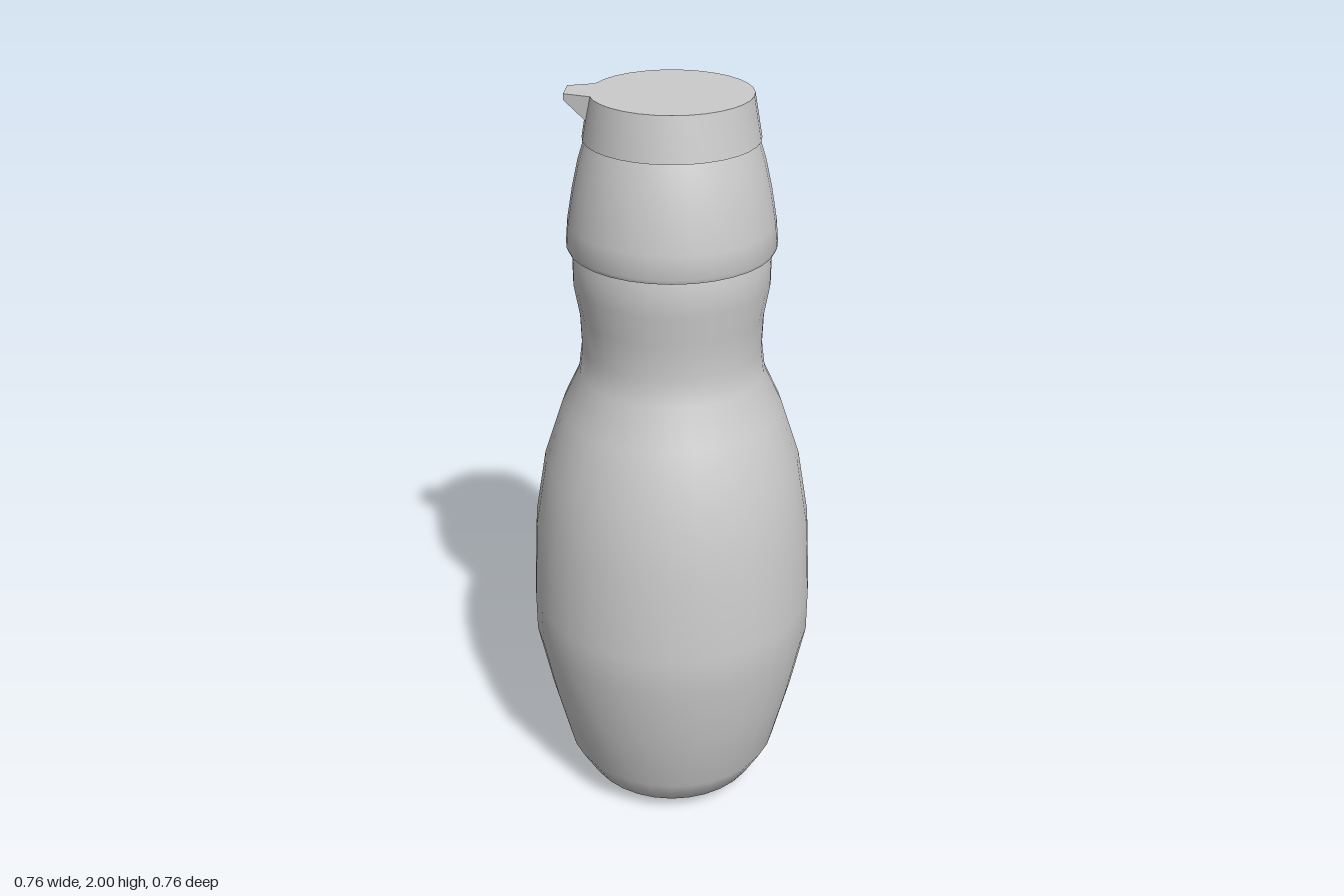
import * as THREE from 'three';
import { toCreasedNormals } from 'three/addons/utils/BufferGeometryUtils.js';

const material = new THREE.MeshStandardMaterial({ color: 0xcccccc });

// Revolve [radius, height] pairs, listed from bottom to top
function lathe(name, profile, creased) {
  const points = profile.map(([r, y]) => new THREE.Vector2(r, y));
  let geometry = new THREE.LatheGeometry(points, 32);
  if (creased) geometry = toCreasedNormals(geometry, 0.6);
  const mesh = new THREE.Mesh(geometry, material);
  mesh.name = name;
  return mesh;
}

// Flip tab: a box tapered outward, with its underside sloping up to the tip
function makeTab() {
  const box = new THREE.BoxGeometry(1, 1, 1);
  const p = box.attributes.position;
  for (let i = 0; i < p.count; i++) {
    const tip = p.getZ(i) > 0;
    const halfWidth = tip ? 0.036 : 0.058;
    const bottom = tip ? 1.985 : 1.93;
    p.setXYZ(i, Math.sign(p.getX(i)) * halfWidth, p.getY(i) > 0 ? 2 : bottom, tip ? 0.251 : 0.184);
  }
  const mesh = new THREE.Mesh(toCreasedNormals(box, 0.3), material);
  mesh.name = 'flipTab';
  mesh.rotation.y = -Math.PI / 3;
  return mesh;
}

export function createModel() {
  const bottle = new THREE.Group();
  bottle.name = 'bottle';

  // Rounded body with a pinched neck
  bottle.add(lathe('body', [
    [0, 0], [0.155, 0.002], [0.25, 0.055], [0.297, 0.14], [0.342, 0.33],
    [0.379, 0.52], [0.379, 0.63], [0.366, 0.86], [0.335, 1.04], [0.285, 1.19],
    [0.238, 1.29], [0.229, 1.36], [0.232, 1.45], [0.246, 1.53],
    [0.246, 1.59], [0.238, 1.63],
  ]));

  // Domed collar with a ledge underneath
  bottle.add(lathe('collar', [
    [0.22, 1.622], [0.256, 1.622], [0.26, 1.632], [0.255, 1.69],
    [0.241, 1.77], [0.225, 1.84], [0.206, 1.9],
  ], true));

  // Tapered lid, slightly wider than the collar top
  bottle.add(lathe('lid', [[0.18, 1.893], [0.214, 1.893], [0.195, 2], [0, 2]], true));
  bottle.add(makeTab());
  return bottle;
}
